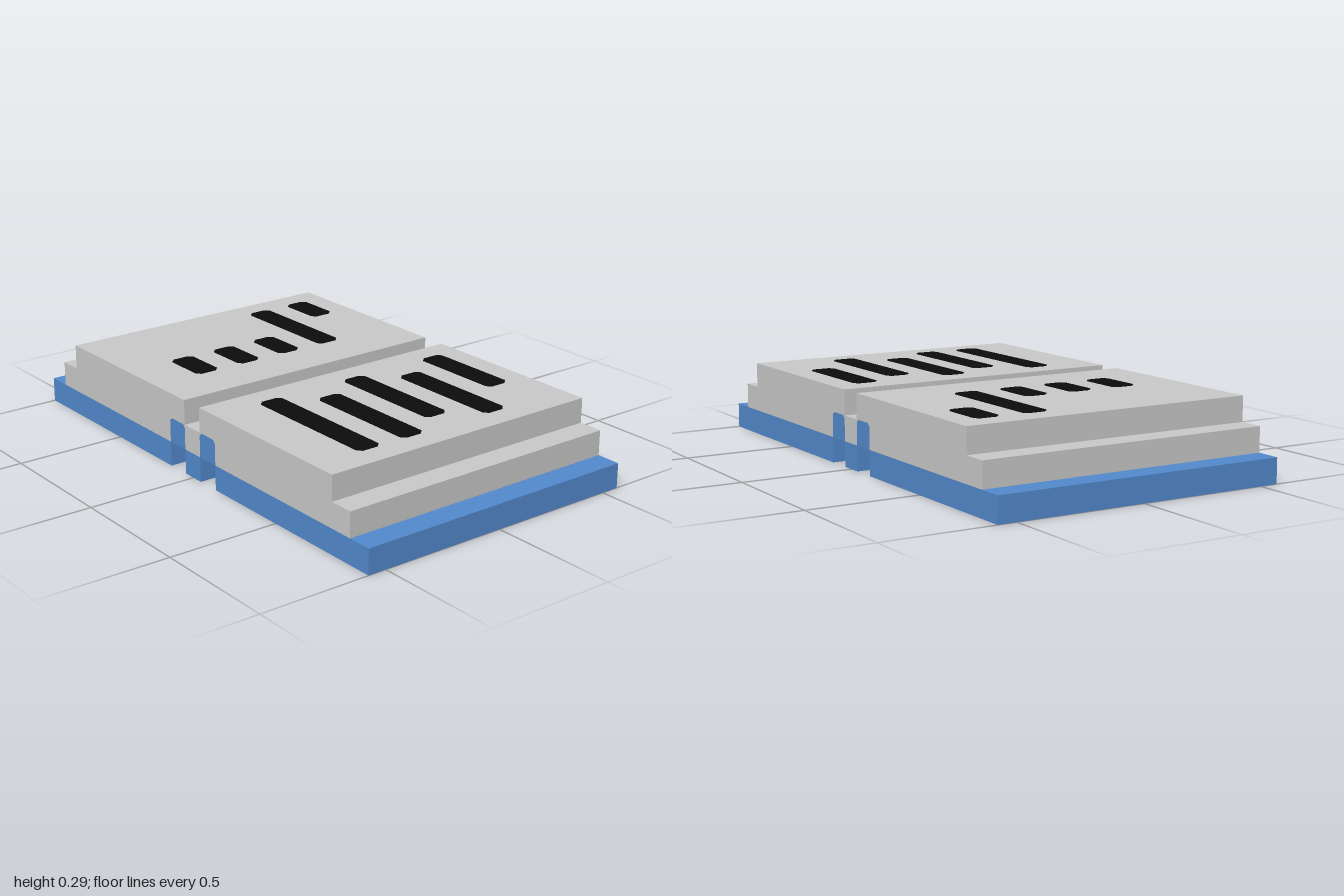
import * as THREE from 'three';

const U = 2 / 21;          // module all dimensions are multiples of
const WIDTH = 12 * U;

export function createModel() {
  const model = new THREE.Group();
  const material = (name, color) => Object.assign(new THREE.MeshStandardMaterial({ color }), { name });
  const blue = material('blue', 0x5289cc);
  const grey = material('light grey', 0xc8c8c8);
  const black = material('black', 0x0c0c0c);

  function add(name, geometry, mat) {
    const mesh = new THREE.Mesh(geometry, mat);
    mesh.name = name;
    model.add(mesh);
    return mesh;
  }

  // Extrudes a (z, y) side outline, in modules, across the full width
  function profile(name, points, mat) {
    const shape = new THREE.Shape(points.map(([z, y]) => new THREE.Vector2(z * U, y * U)));
    const geometry = new THREE.ExtrudeGeometry(shape, { depth: WIDTH, bevelEnabled: false });
    geometry.rotateY(-Math.PI / 2).translate(WIDTH / 2, 0, 0);
    return add(name, geometry, mat);
  }

  // Stepped grey upper body with a groove on top and two channels below
  const r = 0.12;
  const channel = [[0.5, 1], [0.5, 2 - r], [0.5 + r, 2], [1.5 - r, 2], [1.5, 2 - r], [1.5, 1]];
  const half = [...channel, [9.5, 1], [9.5, 2], [8.5, 2], [8.5, 3], [0.5, 3], [0.5, 2]];
  const mirrored = half.map(([z, y]) => [-z, y]).reverse();
  profile('upperBody', [...half, ...mirrored], grey);

  // Blue base slabs, centre rail and channel linings
  for (const [side, s] of [['front', 1], ['back', -1]]) {
    profile(side + 'Base', [[1.5, 0], [10.5, 0], [10.5, 1], [1.5, 1]].map(([z, y]) => [s * z, y]), blue);
    profile(side + 'ChannelLining', channel.map(([z, y]) => [s * z, y]), blue);
  }
  profile('centreRail', [[-0.5, 0], [0.5, 0], [0.5, 1], [-0.5, 1]], blue);

  // Thin black bars: column x, start z, end z, in modules
  const bars = [
    [-3.5, 1.5, 7.5], [-1.5, 2.5, 7.5], [0.5, 1.5, 6.5], [2.5, 2.5, 7.5], [4.5, 1.5, 5.5],
    [-3.5, -4.5, -2.5], [-1.5, -4.5, -2.5], [0.5, -4.5, -2.5], [2.5, -7.5, -2.5], [4.5, -7.5, -5.5],
  ];
  const c = 0.17;
  for (const [x, z0, z1] of bars) {
    const h = (z1 - z0) / 2;
    const outline = [
      [-0.5, -h + c], [-0.5 + c, -h], [0.5 - c, -h], [0.5, -h + c],
      [0.5, h - c], [0.5 - c, h], [-0.5 + c, h], [-0.5, h - c],
    ].map(([px, py]) => new THREE.Vector2(px * U, py * U));
    const geometry = new THREE.ExtrudeGeometry(new THREE.Shape(outline), { depth: 0.003, bevelEnabled: false });
    geometry.rotateX(-Math.PI / 2);
    add('topBar', geometry, black).position.set(x * U, 3 * U, (z0 + z1) / 2 * U);
  }
  return model;
}
